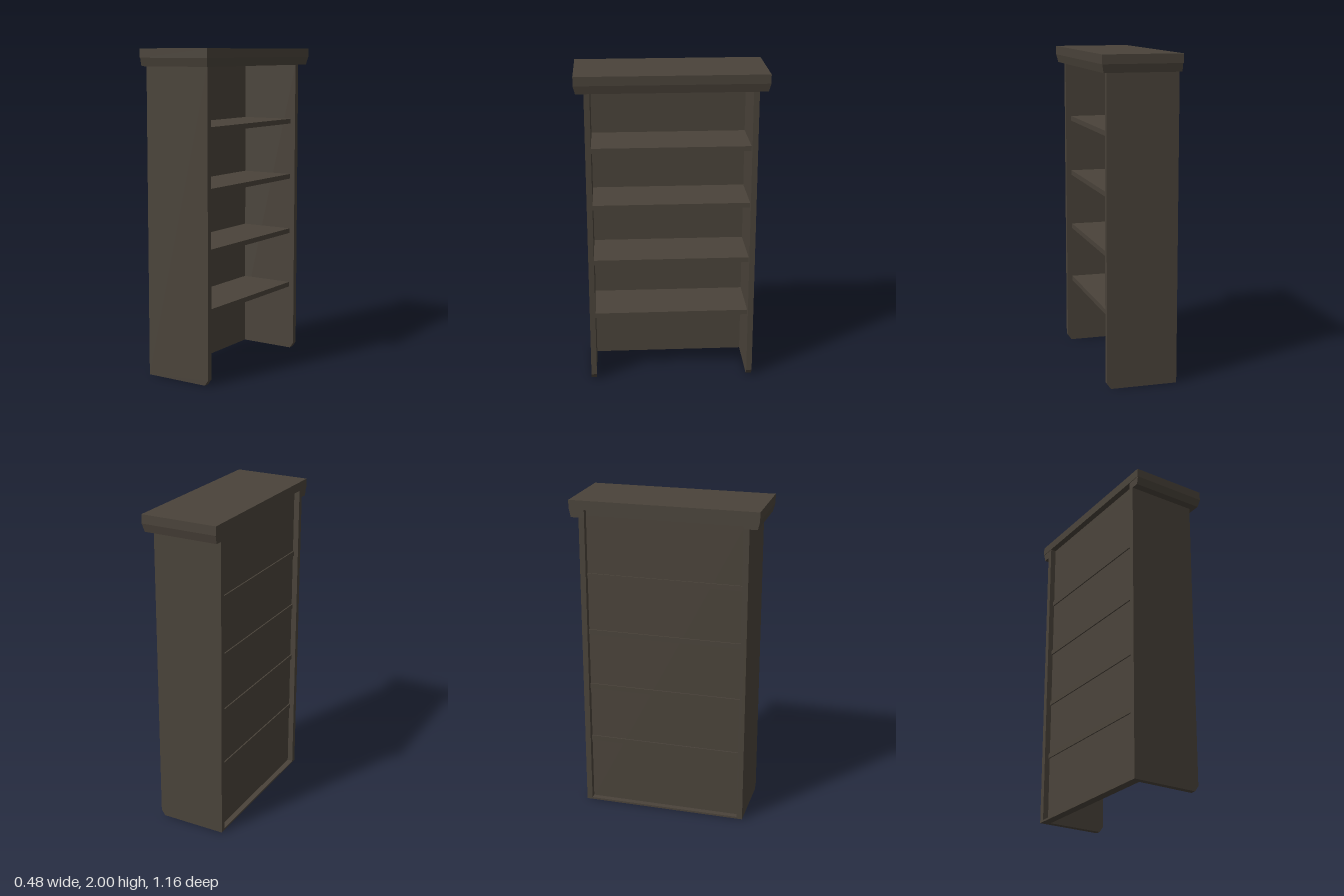
import * as THREE from 'three';

const wood = new THREE.MeshStandardMaterial({ color: 0x4a433a, flatShading: true });

export function createModel() {
  const group = new THREE.Group();
  group.name = 'bookcase';

  const add = (name, geometry) => {
    const mesh = new THREE.Mesh(geometry, wood);
    mesh.name = name;
    group.add(mesh);
    return mesh;
  };
  // Box given by its minimum and maximum on each axis
  const box = (name, x0, x1, y0, y1, z0, z1) => {
    const g = new THREE.BoxGeometry(x1 - x0, y1 - y0, z1 - z0);
    g.translate((x0 + x1) / 2, (y0 + y1) / 2, (z0 + z1) / 2);
    return add(name, g);
  };
  const polygon = (pts) => new THREE.Shape(pts.map(([x, y]) => new THREE.Vector2(x, y)));

  const inner = 0.485, outer = 0.52; // side panel faces along z
  const back = -0.24, front = 0.2;
  const panelBack = -0.205, panelFront = -0.185;

  // Side panels with a chamfered front foot
  const side = polygon([[back, 0], [0.175, 0], [front, 0.035], [front, 1.895], [back, 1.895]]);
  for (const [name, z] of [['leftEndPanel', inner], ['rightEndPanel', -outer]]) {
    const g = new THREE.ExtrudeGeometry(side, { depth: outer - inner, bevelEnabled: false });
    g.translate(0, 0, z);
    add(name, g);
  }

  // Recessed back panel with a thin bottom ledge behind it
  box('backPanel', panelBack, panelFront, 0, 1.9, -inner, inner);
  box('backLedge', back, panelBack, 0, 0.012, -inner, inner);

  // Shelves, just proud of the back panel
  for (let i = 0; i < 4; i++) {
    const y = 0.42 + i * 0.364;
    box('shelf' + (i + 1), panelBack - 0.008, 0.165, y, y + 0.031, -inner, inner);
  }

  // Ceiling board and top slab
  box('ceiling', panelBack, front, 1.9, 1.945, -inner, inner);
  box('topSlab', -0.243, 0.241, 1.945, 2, -0.58, 0.58);

  // Moulding round three sides, tapering inward towards the bottom
  const u = polygon([
    [back, -0.58], [0.241, -0.58], [0.241, 0.58], [back, 0.58],
    [back, inner], [front, inner], [front, -inner], [back, -inner],
  ]);
  const moulding = new THREE.ExtrudeGeometry(u, { depth: 0.05, bevelEnabled: false });
  moulding.rotateX(Math.PI / 2);
  const p = moulding.attributes.position;
  for (let i = 0; i < p.count; i++) {
    if (p.getY(i) > -0.02) continue;
    if (p.getX(i) > 0.23) p.setX(i, 0.23);
    if (Math.abs(p.getZ(i)) > 0.57) p.setZ(i, Math.sign(p.getZ(i)) * 0.568);
  }
  moulding.translate(0, 1.945, 0);
  moulding.computeVertexNormals();
  add('corniceMoulding', moulding);

  return group;
}
